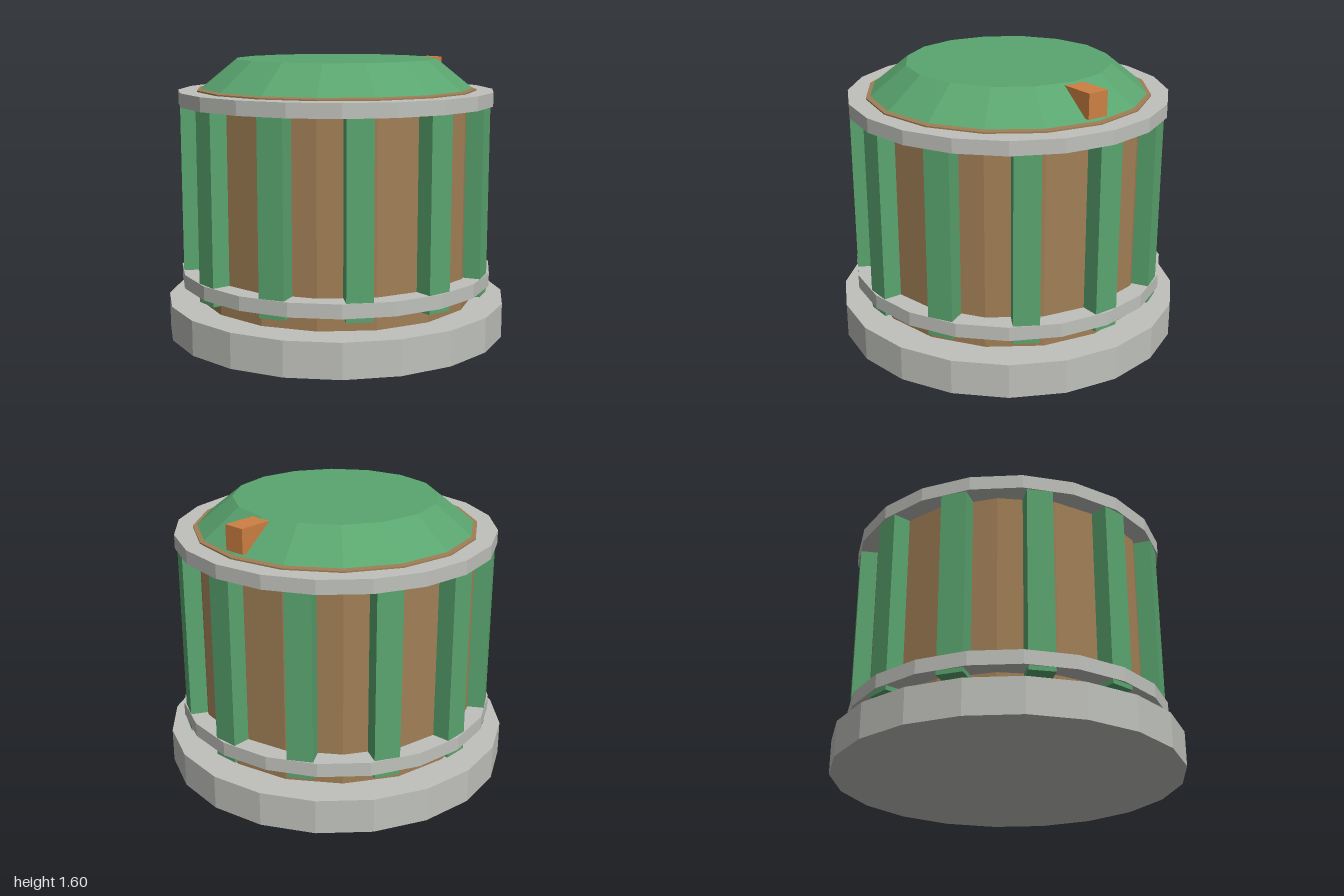
import * as THREE from 'three';

export function createModel() {
  const model = new THREE.Group();
  model.name = 'ribbedDrum';

  const material = (name, color) => {
    const m = new THREE.MeshStandardMaterial({ color, flatShading: true });
    m.name = name;
    return m;
  };
  const stone = material('stone grey', 0xbfc1bb);
  const green = material('green', 0x5aa56f);
  const brown = material('brown', 0xa17f56);
  const orange = material('orange', 0xcd8043);

  const add = (name, geometry, mat, parent = model) => {
    const mesh = new THREE.Mesh(geometry, mat);
    mesh.name = name;
    parent.add(mesh);
    return mesh;
  };

  // Faceted disc or drum standing between two heights
  const drum = (name, rTop, rBottom, y0, y1, sides, mat) => {
    const mesh = add(name, new THREE.CylinderGeometry(rTop, rBottom, y1 - y0, sides), mat);
    mesh.position.y = (y0 + y1) / 2;
    return mesh;
  };

  drum('base', 1, 1, 0, 0.2, 20, stone);
  drum('body', 0.815, 0.815, 0.2, 1.428, 16, brown);
  drum('lowerBand', 0.92, 0.92, 0.3, 0.38, 20, stone);
  drum('upperBand', 0.92, 0.92, 1.34, 1.42, 20, stone);
  drum('lid', 0.585, 0.79, 1.435, 1.6, 16, green);

  // Twelve upright ribs around the body
  const ribs = new THREE.Group();
  ribs.name = 'ribs';
  model.add(ribs);
  const ribGeometry = new THREE.BoxGeometry(0.145, 1.085, 0.145);
  for (let i = 0; i < 12; i++) {
    const angle = (i / 12) * Math.PI * 2;
    const rib = add('rib', ribGeometry, green, ribs);
    rib.position.set(Math.sin(angle) * 0.8325, 0.8175, Math.cos(angle) * 0.8325);
    rib.rotation.y = angle;
  }

  // Block set into the sloping side of the lid
  const latch = add('latch', new THREE.BoxGeometry(0.2, 0.14, 0.125), orange);
  latch.position.set(0.685, 1.52, 0);

  return model;
}
